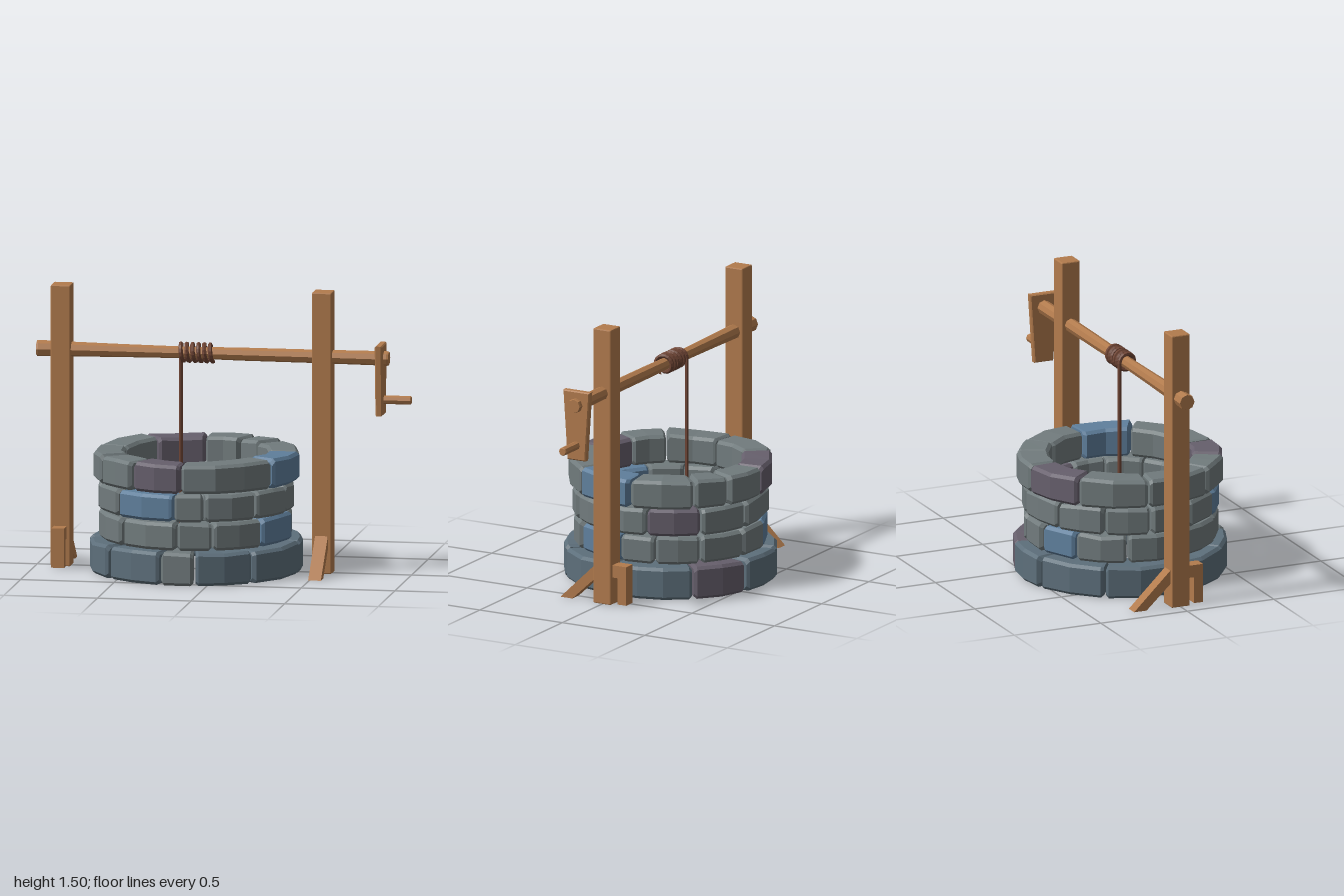
import * as THREE from 'three';
import { RoundedBoxGeometry } from 'three/addons/geometries/RoundedBoxGeometry.js';

const mat = (color) => new THREE.MeshStandardMaterial({ color, flatShading: true });
const WOOD = mat(0xb27b4d), ROPE = mat(0x6e4434);
const TINTS = { g: mat(0x717b7d), b: mat(0x5f7f9c), p: mat(0x665f6c), s: mat(0x5d6f7b) };
const rad = THREE.MathUtils.degToRad;

function mesh(name, geometry, material, x = 0, y = 0, z = 0) {
  const m = new THREE.Mesh(geometry, material);
  m.name = name;
  m.position.set(x, y, z);
  return m;
}

// Small seeded generator, returns -1..1
let seed = 7;
function jitter() {
  seed = (seed * 16807) % 2147483647;
  return (seed / 2147483647) * 2 - 1;
}

// Outline given as (z, y) pairs, extruded along x and centred on it
function sidePlate(points, width, bevel = 0) {
  const shape = new THREE.Shape(points.map(([z, y]) => new THREE.Vector2(z, y)));
  const geo = new THREE.ExtrudeGeometry(shape, {
    depth: width - 2 * bevel, bevelEnabled: bevel > 0, bevelSize: bevel,
    bevelOffset: -bevel, bevelThickness: bevel, bevelSegments: 1,
  });
  return geo.translate(0, 0, -width / 2 + bevel).rotateY(-Math.PI / 2);
}

// Round bar along x from [x, radius] pairs, closed at both ends
function bar(profile, sides) {
  const pts = [[profile[0][0], 0], ...profile, [profile[profile.length - 1][0], 0]];
  return new THREE.LatheGeometry(pts.map(([x, r]) => new THREE.Vector2(r, x)), sides)
    .rotateZ(-Math.PI / 2);
}

// Chamfered stone swept along an arc from angle a0 to a1
function stone(a0, a1, rIn, rOut, y0, y1) {
  const gap = 0.006 / rOut, chamfer = 0.016, c = chamfer / rOut;
  const start = a0 + gap, end = a1 - gap;
  const n = Math.max(1, Math.round((end - start) / 0.3));
  const stops = [[start, 0.012]];
  for (let i = 0; i <= n; i++) stops.push([start + c + ((end - start - 2 * c) * i) / n, 0]);
  stops.push([end, 0.012]);

  const pos = [], index = [], k = 8;
  for (const [a, inset] of stops) {
    const o = rOut - inset + jitter() * 0.006;
    const i = rIn + inset + jitter() * 0.006;
    const b = y0 + inset, t = y1 - inset + jitter() * 0.006;
    const section = [
      [i + chamfer, b], [o - chamfer, b], [o, b + chamfer], [o, t - chamfer],
      [o - chamfer, t], [i + chamfer, t], [i, t - chamfer], [i, b + chamfer],
    ];
    for (const [r, y] of section) pos.push(r * Math.sin(a), y, r * Math.cos(a));
  }
  const last = (stops.length - 1) * k;
  for (let s = 0; s < last; s += k) {
    for (let j = 0; j < k; j++) {
      const a = s + j, d = s + ((j + 1) % k);
      index.push(a, a + k, d + k, a, d + k, d);
    }
  }
  for (let j = 1; j < k - 1; j++) {
    index.push(0, j, j + 1, last, last + j + 1, last + j);
  }
  const geo = new THREE.BufferGeometry();
  geo.setAttribute('position', new THREE.Float32BufferAttribute(pos, 3));
  geo.setIndex(index);
  geo.computeVertexNormals();
  return geo;
}

// Courses from the ground up; joints in degrees from the front toward +x
const COURSES = [
  { y0: 0, y1: 0.172, r: 0.565, joints: [-45, -10, 9, 42, 85, 132, 165, 197, 237, 276], tints: 'sgssspssss' },
  { y0: 0.178, y1: 0.325, r: 0.512, joints: [-40, -2, 20, 53, 88, 110, 138, 168, 192, 218, 250, 285], tints: 'gggbggggbggg' },
  { y0: 0.332, y1: 0.476, r: 0.515, joints: [-43, -4, 15, 48, 77, 105, 138, 170, 205, 236, 264, 290], tints: 'bggggpgggggg' },
  { y0: 0.486, y1: 0.64, r: 0.54, joints: [-57, -29, 1, 58, 96, 133, 154, 183, 221, 262], tints: 'gpgbgggpgg' },
];

function stoneWell() {
  const well = new THREE.Group();
  well.name = 'stoneWell';
  well.position.x = -0.15;
  for (const { y0, y1, r, joints, tints } of COURSES) {
    const course = new THREE.Group();
    course.name = 'stoneCourse';
    joints.forEach((a, i) => {
      const b = i + 1 < joints.length ? joints[i + 1] : joints[0] + 360;
      course.add(mesh('stone', stone(rad(a), rad(b), 0.378, r, y0, y1), TINTS[tints[i]]));
    });
    well.add(course);
  }
  return well;
}

// Upright with a slanted brace on one side and a hooked foot on the other
function post(x, turn) {
  const g = new THREE.Group();
  g.name = 'post';
  g.position.x = x;
  g.rotation.y = turn;
  g.add(mesh('upright', new RoundedBoxGeometry(0.105, 1.5, 0.106, 1, 0.006), WOOD, 0, 0.75, 0));
  g.add(mesh('slantedBrace',
    sidePlate([[0.04, 0.215], [0.04, 0.14], [0.19, 0], [0.262, 0]], 0.068), WOOD));
  g.add(mesh('hookedFoot',
    sidePlate([[-0.04, 0.148], [-0.085, 0.148], [-0.085, 0.005], [-0.136, 0.005],
      [-0.136, 0.215], [-0.04, 0.215]].reverse(), 0.068), WOOD));
  return g;
}

// Axle, crank plate and handle
function windlass() {
  const g = new THREE.Group();
  g.name = 'windlass';
  g.add(mesh('axle', bar([[-1, 0.042], [-0.99, 0.044], [-0.9, 0.041], [-0.55, 0.035],
    [-0.2, 0.031], [0.1, 0.035], [0.5, 0.036], [0.87, 0.039], [0.88, 0.036]], 8), WOOD, 0, 1.152, 0));
  g.add(mesh('crankPlate', sidePlate(
    [[-0.055, 0.85], [0.055, 0.85], [0.08, 1.227], [-0.08, 1.227]], 0.038, 0.006), WOOD, 0.835, 0, 0));
  g.add(mesh('crankHandle', bar([[0.83, 0.023], [0.995, 0.023], [1, 0.019]], 8), WOOD, 0, 0.932, 0));
  return g;
}

// Rope wound around the axle with one end hanging into the well
class Coil extends THREE.Curve {
  getPoint(t, target = new THREE.Vector3()) {
    const a = t * Math.PI * 2 * 5.75;
    return target.set(-0.24 + 0.18 * t, 1.153 + 0.045 * Math.sin(a), -0.045 * Math.cos(a));
  }
}

function rope() {
  const g = new THREE.Group();
  g.name = 'rope';
  g.add(mesh('ropeCoil', new THREE.TubeGeometry(new Coil(), 96, 0.012, 6), ROPE));
  g.add(mesh('hangingRope', new THREE.CylinderGeometry(0.011, 0.011, 1.03, 6), ROPE, -0.24, 0.64, -0.045));
  return g;
}

export function createModel() {
  seed = 7;
  const model = new THREE.Group();
  model.name = 'well';
  model.add(stoneWell(), post(0.528, 0), post(-0.867, Math.PI), windlass(), rope());
  return model;
}
